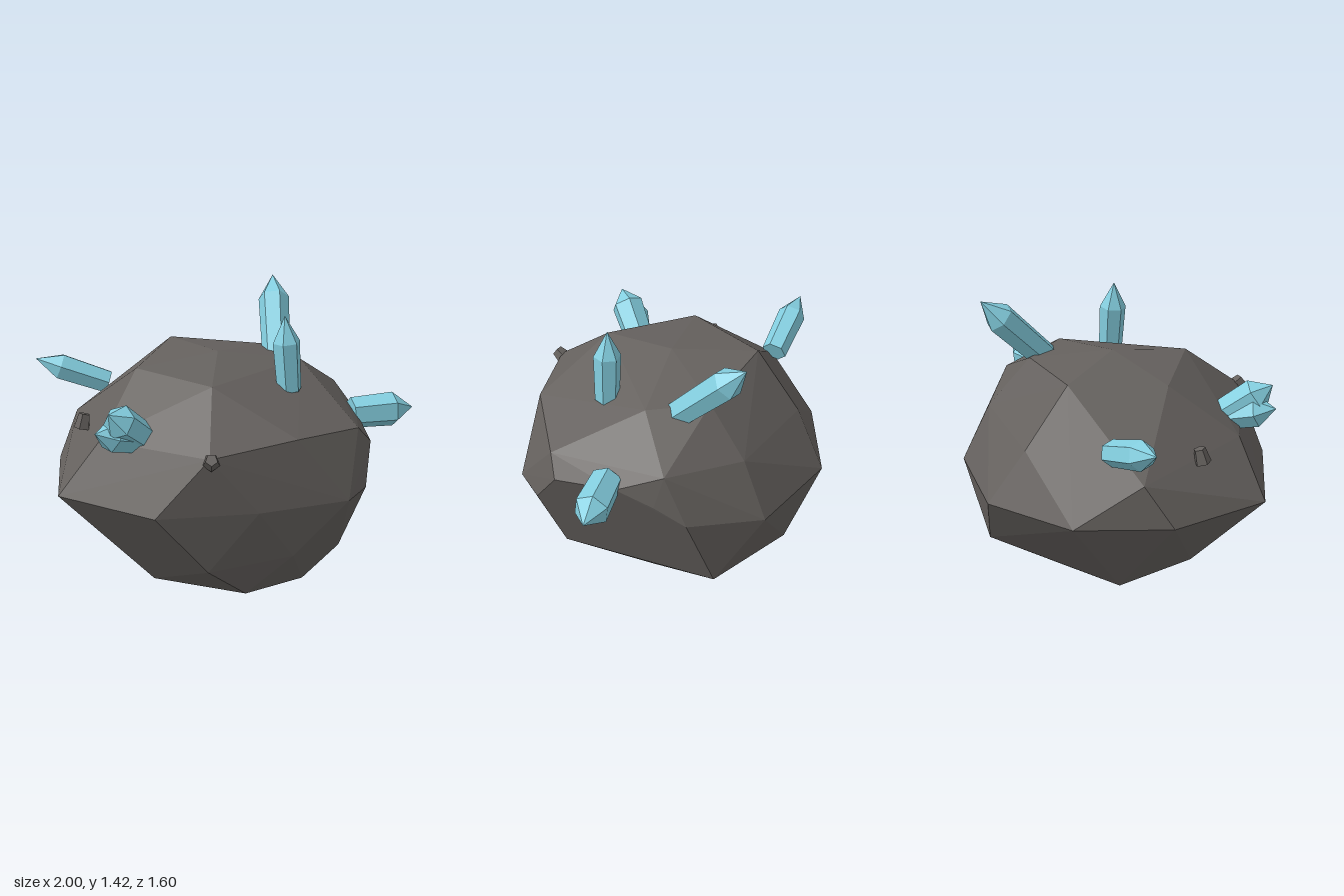
import * as THREE from 'three';
import { ConvexGeometry } from 'three/addons/geometries/ConvexGeometry.js';

const V = (p) => new THREE.Vector3(...p);

export function createModel() {
  const group = new THREE.Group();
  const rock = new THREE.MeshStandardMaterial({ color: 0x65615e, flatShading: true });
  rock.name = 'dark stone';
  const ice = new THREE.MeshStandardMaterial({ color: 0x84cfe0, flatShading: true });
  ice.name = 'pale blue crystal';

  // Faceted boulder: hull of rough rings, from the flat base to the crown
  const rings = [
    // base
    [-0.51, 0, 0.27], [-0.12, 0, 0.61], [0.23, 0, 0.55],
    [0.38, 0, 0.08], [-0.08, 0, -0.35], [-0.44, 0, -0.29],
    // lower slope
    [-0.735, 0.19, -0.06], [-0.35, 0.19, 0.67], [0.09, 0.24, 0.74], [0.44, 0.16, 0.55],
    [0.53, 0.2, 0.14], [0.597, 0.15, -0.3], [0.21, 0.18, -0.63],
    // waist
    [-1, 0.53, 0.21], [-0.63, 0.53, 0.67], [-0.12, 0.53, 0.785], [0.37, 0.53, 0.8],
    [0.53, 0.53, 0.67], [0.71, 0.6, -0.17], [0.5, 0.53, -0.55], [0.02, 0.53, -0.8],
    [-0.49, 0.53, -0.69], [-0.85, 0.53, -0.33],
    // shoulder
    [-0.37, 0.84, 0.75], [0.1, 0.88, 0.75], [0.52, 0.83, 0.58], [0.616, 0.73, 0.54],
    [0.696, 0.78, 0.2], [0.708, 0.7, 0.0], [0.68, 0.88, -0.05], [0.42, 0.84, -0.42],
    [-0.1, 0.82, -0.64], [-0.72, 0.76, -0.42], [-0.78, 0.82, 0.25],
    // crown
    [-0.06, 1.16, 0.05], [-0.5, 1.1, 0], [-0.24, 1.1, 0.44], [0.4, 1.08, 0.1],
    [0.3, 1.09, -0.22], [-0.17, 1.13, -0.4],
  ];
  const boulder = new THREE.Mesh(new ConvexGeometry(rings.map(V)), rock);
  boulder.name = 'boulder';
  group.add(boulder);

  // Six-sided crystal that widens slightly, then comes to a point
  function crystal(name, base, tip, radius, point, roll = 0) {
    const from = V(base), axis = V(tip).sub(from), length = axis.length();
    const profile = [[0, 0], [radius * 0.9, 0], [radius, length - point], [0, length]];
    const geometry = new THREE.LatheGeometry(profile.map(([r, y]) => new THREE.Vector2(r, y)), 6, roll);
    const mesh = new THREE.Mesh(geometry, ice);
    mesh.name = name;
    mesh.position.copy(from);
    mesh.quaternion.setFromUnitVectors(new THREE.Vector3(0, 1, 0), axis.normalize());
    group.add(mesh);
  }
  crystal('topFrontCrystal', [0.23, 1.0, 0.34], [0.2, 1.4, 0.335], 0.073, 0.14, 0.4);
  crystal('topBackCrystal', [0.33, 1.03, -0.06], [0.455, 1.425, -0.42], 0.086, 0.15);
  crystal('leftSideCrystal', [0.64, 0.79, 0.255], [1.0, 0.79, 0.29], 0.095, 0.12, 0.3);
  crystal('rightBackCrystal', [-0.53, 0.89, -0.45], [-0.91, 1.04, -0.55], 0.077, 0.14);
  crystal('rightFrontUpperCrystal', [-0.58, 0.84, 0.34], [-0.8, 1.04, 0.49], 0.092, 0.1);
  crystal('rightFrontLowerCrystal', [-0.58, 0.84, 0.35], [-0.86, 0.935, 0.45], 0.085, 0.1, 0.3);

  // Small stone chips stuck on the boulder
  const chips = [
    ['frontChip', [-0.365, 0.835, 0.76], 0.045, 0.06, 0.5],
    ['rightChip', [-0.78, 0.82, -0.06], 0.045, 0.08, -0.3],
  ];
  for (const [name, position, radius, height, turn] of chips) {
    const chip = new THREE.Mesh(new THREE.CylinderGeometry(radius * 0.7, radius, height, 5), rock);
    chip.name = name;
    chip.position.set(...position);
    chip.rotation.set(turn, turn * 2, turn);
    group.add(chip);
  }
  return group;
}
